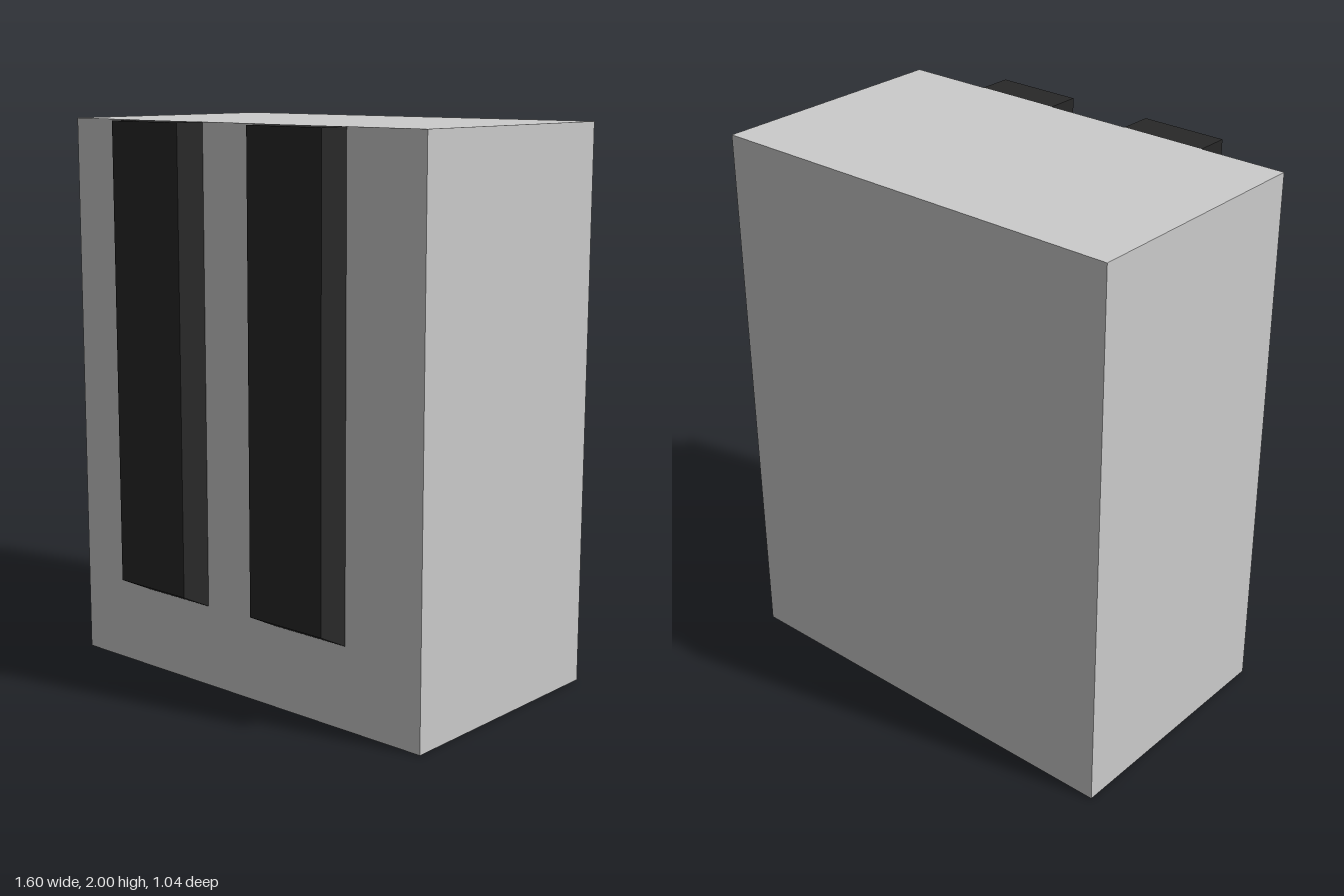
import * as THREE from 'three';

const grey = new THREE.MeshStandardMaterial({ color: 0xcccccc });
const black = new THREE.MeshStandardMaterial({ color: 0x282828 });

// Upright strip whose lower end slopes up towards the front
function stripGeometry(width, depth, bottomBack, bottomFront, top) {
  const geo = new THREE.BoxGeometry(width, 1, depth);
  const p = geo.attributes.position;
  for (let i = 0; i < p.count; i++) {
    const bottom = p.getZ(i) > 0 ? bottomFront : bottomBack;
    p.setY(i, p.getY(i) > 0 ? top : bottom);
  }
  geo.computeVertexNormals();
  return geo;
}

export function createModel() {
  const group = new THREE.Group();

  // Main block
  const body = new THREE.Mesh(new THREE.BoxGeometry(1.6, 2, 0.92), grey);
  body.name = 'body';
  body.position.set(0, 1, -0.06);
  group.add(body);

  // Pair of raised strips on the front face
  const geo = stripGeometry(0.32, 0.12, 0.295, 0.355, 2);
  for (const side of [-1, 1]) {
    const strip = new THREE.Mesh(geo, black);
    strip.name = side > 0 ? 'leftFrontStrip' : 'rightFrontStrip';
    strip.position.set(side * 0.32, 0, 0.46);
    group.add(strip);
  }
  return group;
}
